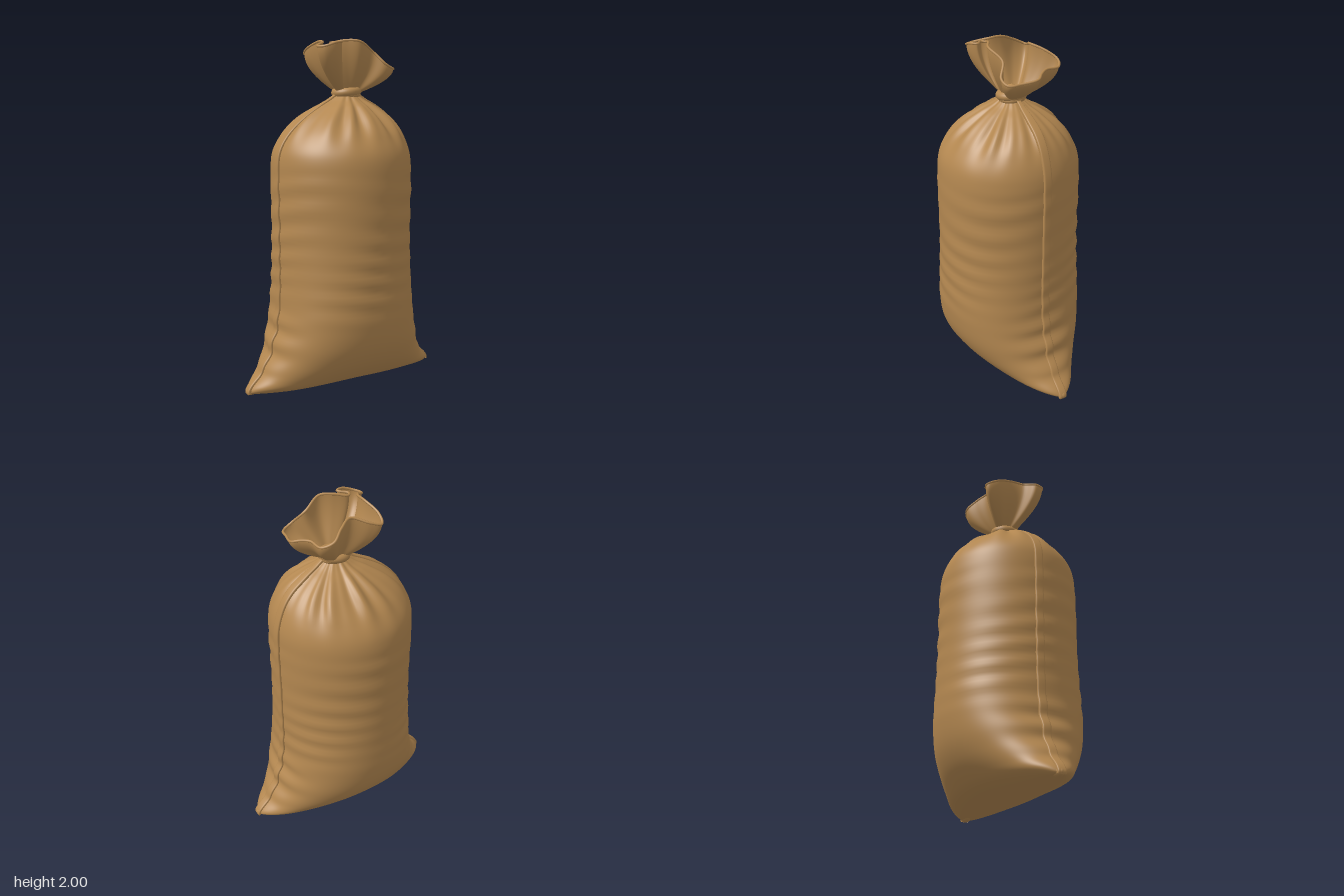
import * as THREE from 'three';

const TAU = Math.PI * 2;
const burlap = new THREE.MeshStandardMaterial({ color: 0xb38750, side: THREE.DoubleSide });
burlap.name = 'burlap';

const gauss = (v, mid, width) => Math.exp(-(((v - mid) / width) ** 2));
const smooth = THREE.MathUtils.smoothstep;
const spow = (v, e) => Math.sign(v) * Math.abs(v) ** e;
const points = (list) => list.map((p) => new THREE.Vector3(...p));

// Smooth surface from closed rings: f(angle, t) gives a point, t runs 0..1
function loft(segments, rows, f) {
  const pos = [], index = [];
  for (let j = 0; j <= rows; j++) {
    for (let i = 0; i < segments; i++) {
      const p = f((i / segments) * TAU, j / rows);
      pos.push(p.x, p.y, p.z);
      if (j === rows) continue;
      const a = j * segments + i, b = j * segments + ((i + 1) % segments);
      index.push(a, a + segments, b, b, a + segments, b + segments);
    }
  }
  const g = new THREE.BufferGeometry();
  g.setAttribute('position', new THREE.Float32BufferAttribute(pos, 3));
  g.setIndex(index);
  g.computeVertexNormals();
  return g;
}

// Sack sections: half width, height, half depth
const profile = new THREE.CatmullRomCurve3(points([
  [0.59, 0.018, 0.0], [0.6, 0.01, 0.07], [0.605, 0.022, 0.14], [0.59, 0.05, 0.21],
  [0.545, 0.1, 0.268], [0.49, 0.18, 0.33], [0.455, 0.28, 0.375], [0.42, 0.42, 0.4],
  [0.406, 0.6, 0.403], [0.406, 0.8, 0.403], [0.406, 1.0, 0.403], [0.408, 1.22, 0.403],
  [0.4, 1.36, 0.388], [0.358, 1.46, 0.333], [0.28, 1.55, 0.25], [0.18, 1.62, 0.16],
  [0.105, 1.662, 0.092], [0.058, 1.7, 0.055], [0.05, 1.74, 0.048], [0, 1.765, 0],
]));

// The base rises in the middle and stays a little higher on one side
const baseLift = (x) => 0.026 * smooth(x, -0.45, 0.05) - 0.01 * smooth(x, 0.3, 0.6);

function sackPoint(angle, t) {
  const p = profile.getPoint(t), y = p.y;
  const c = Math.cos(angle), s = Math.sin(angle);
  // fuller than an ellipse low down
  const e = 0.88 + 0.12 * smooth(y, 0.4, 0.9);
  // gathered pleats under the tie
  const pleats = Math.cos(13 * angle + 0.6) + 0.8 * Math.cos(19 * angle + 2 * Math.sin(angle))
    + 0.6 * Math.cos(8 * angle + 1);
  const k = 1 + 0.055 * gauss(y, 1.59, 0.11) * pleats * (0.4 + 0.6 * Math.abs(s));
  // level wrinkles round the belly, short creases at the corners
  const belly = smooth(y, 0.35, 0.6) * (1 - smooth(y, 1.1, 1.35));
  const wrinkle = 0.0045 * belly * Math.sin(50 * y + 1.6 * Math.sin(2 * angle) + Math.sin(9 * y))
    * (0.6 + 0.4 * Math.sin(3 * angle + 5 * y));
  const crease = 0.008 * Math.abs(c) ** 8 * Math.sin(48 * y)
    * smooth(y, 0.06, 0.14) * (1 - smooth(y, 0.35, 0.55));
  const girth = p.x > 0.001 ? wrinkle : 0;
  const x = (p.x * k + girth + crease) * spow(c, e);
  const z = (p.z * k + girth) * spow(s, e);
  return new THREE.Vector3(
    x + 0.037 * smooth(y, 1.35, 1.7), y + baseLift(x) * Math.exp(-y / 0.12), z);
}

// Raised strip along one side of the sack
function seamPoint(side) {
  const around = side > 0 ? 0 : Math.PI;
  return (angle, t) => {
    const u = 0.075 + t * 0.8;
    const p = sackPoint(around, u);
    const d = sackPoint(around, u + 0.006).sub(sackPoint(around, u - 0.006)).normalize();
    const out = 0.012 * spow(Math.cos(angle), 0.45) * side;
    const taper = 1 - 0.5 * smooth(t, 0.85, 1);
    return new THREE.Vector3(
      p.x + d.y * out, p.y - d.x * out,
      0.003 + 0.025 * side * taper * spow(Math.sin(angle), 0.45));
  };
}

// Wavy rim of the open mouth, in order of rising angle from +x towards +z
const rim = new THREE.CatmullRomCurve3(points([
  [0.297, 1.855, 0.0], [0.275, 1.84, 0.09], [0.255, 1.835, 0.155], [0.2, 1.86, 0.165],
  [0.14, 1.93, 0.12], [0.04, 1.985, 0.145], [-0.03, 1.99, 0.105], [-0.1, 1.975, 0.075],
  [-0.12, 1.975, 0.1], [-0.075, 1.98, 0.145], [-0.12, 1.975, 0.168], [-0.185, 1.955, 0.15],
  [-0.203, 1.955, 0.1], [-0.14, 1.98, 0.045], [-0.13, 1.985, -0.03], [-0.15, 1.95, -0.13],
  [-0.13, 1.92, -0.195], [-0.07, 1.935, -0.18], [0.02, 1.965, -0.125], [0.1, 1.945, -0.165],
  [0.17, 1.905, -0.205], [0.225, 1.88, -0.175], [0.235, 1.88, -0.09], [0.265, 1.87, -0.04],
]), true);

// The mouth flares quickly from the neck, then stands nearly upright
function mouthPoint(angle, t) {
  const r = rim.getPoint((angle / TAU) % 1);
  const k = Math.sin((t * Math.PI) / 2) ** 0.9;
  const x0 = 0.037 + 0.045 * Math.cos(angle), z0 = 0.045 * Math.sin(angle);
  return new THREE.Vector3(
    x0 + (r.x - x0) * k, 1.69 + (r.y - 1.69) * t, z0 + (r.z - z0) * k);
}

export function createModel() {
  const sack = new THREE.Group();
  sack.name = 'sack';
  const add = (name, geometry) => {
    const m = new THREE.Mesh(geometry, burlap);
    m.name = name;
    sack.add(m);
    return m;
  };

  add('body', loft(176, 150, sackPoint));

  // Side seams and the sewn tips of the bottom corners
  for (const side of [1, -1]) {
    const label = side > 0 ? 'left' : 'right';
    add(label + 'Seam', loft(20, 130, seamPoint(side)));
    const tip = add(label + 'Corner', new THREE.SphereGeometry(0.03, 20, 14));
    tip.position.set(side * 0.575, 0.027 + baseLift(side * 0.6), 0);
    tip.scale.set(1.5, 0.9, 0.95);
    tip.rotation.z = -side * 0.25;
  }

  // Gathered mouth with a hemmed rim
  add('mouth', loft(168, 24, mouthPoint));
  add('mouthHem', new THREE.TubeGeometry(rim, 200, 0.007, 8, true));

  // Cord round the neck
  const cord = add('tie', new THREE.TorusGeometry(0.063, 0.025, 14, 48));
  cord.position.set(0.037, 1.706, 0);
  cord.rotation.set(Math.PI / 2, 0.1, 0);
  const turn = add('tieSecondTurn', new THREE.TorusGeometry(0.06, 0.018, 12, 48));
  turn.position.set(0.043, 1.692, 0);
  turn.rotation.set(Math.PI / 2 + 0.08, 0.02, 0);

  return sack;
}
